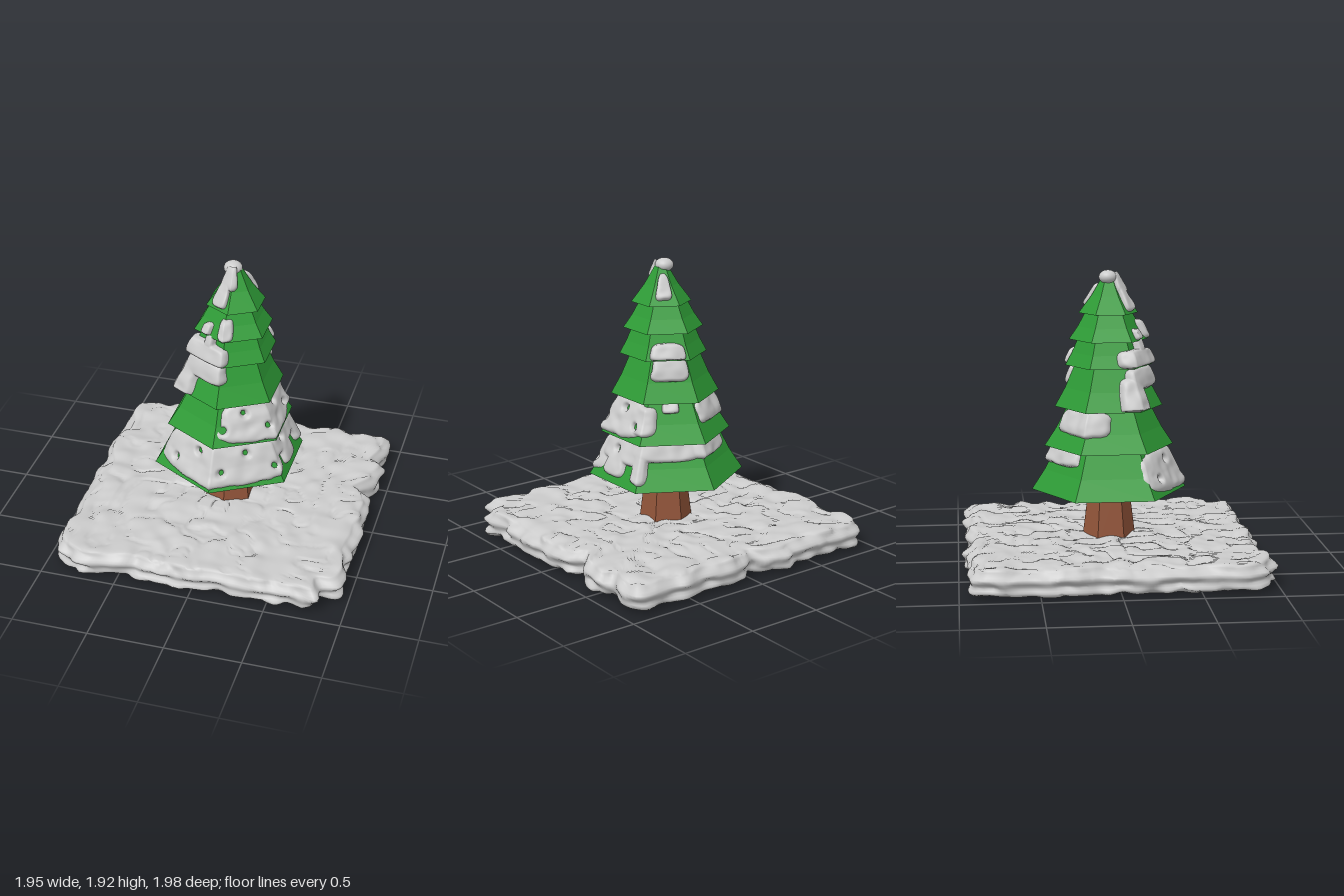
import * as THREE from 'three';

const snowMat = new THREE.MeshStandardMaterial({ color: 0xcccccc });
const leafMat = new THREE.MeshStandardMaterial({ color: 0x2e9b36, flatShading: true });
const barkMat = new THREE.MeshStandardMaterial({ color: 0x93553a, flatShading: true });

// Smooth seeded value noise, 0..1
function hash(x, y, z) {
  const s = Math.sin(x * 127.1 + y * 311.7 + z * 74.7) * 43758.5453;
  return s - Math.floor(s);
}
function noise(x, y, z) {
  const c = [x, y, z].map(Math.floor);
  const [u, v, w] = [x, y, z].map((n, i) => (n - c[i]) * (n - c[i]) * (3 - 2 * (n - c[i])));
  let sum = 0;
  for (let k = 0; k < 8; k++) {
    const i = k & 1, j = (k >> 1) & 1, l = k >> 2;
    sum += hash(c[0] + i, c[1] + j, c[2] + l) * (i ? u : 1 - u) * (j ? v : 1 - v) * (l ? w : 1 - w);
  }
  return sum;
}

// Surface of rows (upward) and columns (closed ring); point returns [x, y, z, keep]
function ringSurface(cols, rows, point) {
  const pos = [], keep = [], index = [];
  for (let j = 0; j <= rows; j++) {
    for (let i = 0; i < cols; i++) {
      const [x, y, z, k = true] = point(i, j);
      pos.push(x, y, z);
      keep.push(k);
    }
  }
  for (let j = 0; j < rows; j++) {
    for (let i = 0; i < cols; i++) {
      const n = (i + 1) % cols;
      const a = j * cols + i, b = j * cols + n, c = b + cols, d = a + cols;
      if (keep[a] || keep[b] || keep[c] || keep[d]) index.push(a, b, d, b, c, d);
    }
  }
  const g = new THREE.BufferGeometry();
  g.setAttribute('position', new THREE.Float32BufferAttribute(pos, 3));
  g.setIndex(index);
  g.computeVertexNormals();
  return g;
}

function addMesh(group, name, geometry, material) {
  const m = new THREE.Mesh(geometry, material);
  m.name = name;
  group.add(m);
  return m;
}

// Notches (negative) and bulges in the slab rim: x, z, amount
const rimDents = [
  [-0.02, -0.95, -0.08], [0.95, -0.3, -0.09], [0.95, -0.69, -0.06],
  [0.9, 0.9, -0.12], [-0.23, -0.95, 0.04], [-0.7, 0.95, 0.04],
];

// Slab outline: a rounded square with a wavy edge
function slabRim(a) {
  const c = Math.cos(a), s = Math.sin(a);
  let r = 0.95 / Math.pow(c ** 14 + s ** 14, 1 / 14);
  const x = r * s, z = r * c;
  r += (noise(x * 7 + 20, 3, z * 7 + 20) - 0.5) * 0.06;
  for (const [dx, dz, amount] of rimDents) r += amount * Math.exp(-((x - dx) ** 2 + (z - dz) ** 2) / 0.005);
  return [r * s, r * c];
}

function snowSlab() {
  const cols = 320;
  const rim = Array.from({ length: cols }, (_, i) => slabRim(i / cols * Math.PI * 2));
  // Cross-section from bottom centre, round the rim, to top centre
  const profile = [];
  for (let k = 0; k < 36; k++) profile.push([k / 36 * 0.92, 0.025]);
  for (let k = 0; k <= 18; k++) {
    const t = -Math.PI / 2 + Math.PI * k / 18;
    profile.push([0.92 + 0.075 * Math.pow(Math.cos(t) + 1e-9, 0.7), 0.107 + 0.082 * Math.sin(t)]);
  }
  for (let k = 1; k <= 50; k++) profile.push([0.92 * (1 - k / 50), 0.189]);
  return ringSurface(cols, profile.length - 1, (i, j) => {
    const [s, y] = profile[j];
    const x = rim[i][0] * s, z = rim[i][1] * s;
    const lump = noise(x * 11 + 30, y * 22, z * 11 + 50) - 0.5;
    const vein = Math.abs(noise(x * 9 + 7, y * 8, z * 9 + 90) - 0.5);
    const up = (y - 0.107) / 0.082;
    const edge = Math.max(0, (s - 0.8) / 0.2);
    const out = 1 + edge * (lump * 0.055 - 0.012 * Math.cos(y * 75));
    return [x * out, y + up * (lump * 0.03 - Math.max(0, 0.05 - vein) * 0.25 + 0.004), z * out];
  });
}

// Tiers from the bottom: x offset, lip radius and height, top radius and height
const tiers = [
  [0, 0.51, 0.49, 0.34, 0.79],
  [0.005, 0.425, 0.78, 0.27, 1.05],
  [0.01, 0.355, 1.04, 0.22, 1.32],
  [0.025, 0.285, 1.31, 0.195, 1.5],
  [0.025, 0.26, 1.48, 0.145, 1.67],
  [0.04, 0.195, 1.65, 0.025, 1.91],
];

// Snow patches on each tier: angle, height, half angle, half height
const patches = [
  [[5, 0.645, 66, 0.135], [90, 0.7, 30, 0.09], [86, 0.61, 14, 0.08], [130, 0.73, 48, 0.07], [118, 0.63, 8, 0.1], [200, 0.73, 32, 0.06]],
  [[60, 0.915, 57, 0.125], [112, 0.92, 20, 0.09], [150, 1, 12, 0.04], [225, 0.96, 42, 0.08]],
  [[-30, 1.24, 39, 0.075], [-60, 1.13, 20, 0.12], [150, 1.25, 28, 0.08]],
  [[-36, 1.365, 44, 0.06], [-28, 1.44, 10, 0.05], [150, 1.36, 26, 0.055]],
  [[2, 1.545, 13, 0.06], [-35, 1.52, 9, 0.035]],
  [[-28, 1.75, 22, 0.085], [-15, 1.86, 40, 0.09], [150, 1.76, 22, 0.08]],
];

// Tier profile: lip, a slight sag halfway, top
function tierProfile([, r0, y0, r1, y1]) {
  return [[r0, y0], [(r0 + r1) / 2, y0 + (y1 - y0) * 0.44], [r1, y1]];
}

// Radius of a six-sided tier at an angle in degrees and a height
function tierRadius([a, b, c], deg, y) {
  const [p, q] = y < b[1] ? [a, b] : [b, c];
  const r = p[0] + (q[0] - p[0]) * (y - p[1]) / (q[1] - p[1]);
  const m = ((deg % 60) + 60) % 60 - 30;
  return r * Math.cos(Math.PI / 6) / Math.cos(m * Math.PI / 180);
}

// Snow skin that dips below the leaves wherever there is no patch
function tierSnow(profile, snow, bareSpots, thickness) {
  const cols = 240, rows = 36, y0 = profile[0][1], height = profile[2][1] - y0;
  const wrap = (d) => ((d + 540) % 360 + 360) % 360 - 180;
  return ringSurface(cols, rows, (i, j) => {
    const deg = -180 + 360 * i / cols, a = deg * Math.PI / 180;
    const y = y0 + height * j / rows;
    const r = tierRadius(profile, deg, y);
    const n = noise(r * Math.sin(a) * 16 + 40, y * 16, r * Math.cos(a) * 16 + 60) - 0.5;
    let d = -0.02;
    for (const [ac, yc, wa, wh] of snow) {
      const q = (wrap(deg - ac) / wa) ** 4 + ((y - yc) / wh) ** 4 + n * 0.6;
      d = Math.max(d, thickness * Math.tanh(2.2 * (1 - q)));
    }
    if (d > 0) d += n * 0.02;
    // Small bare spots where the leaves show through
    for (let k = 0; k < bareSpots; k++) {
      const arc = wrap(deg + 42 - 25 * k) * Math.PI / 180 * r;
      const rise = y - y0 - height * (k % 2 ? 0.68 : 0.35);
      d -= 0.07 * Math.exp(-(arc * arc + rise * rise) / 0.0003);
    }
    // Close the skin at the lip
    d = j === 0 ? -0.02 : Math.max(d, -0.02);
    const s = Math.max(0.002, r + d);
    return [s * Math.sin(a), y + Math.max(0, d) * 0.3, s * Math.cos(a), d > -0.012];
  });
}

export function createModel() {
  const model = new THREE.Group();
  model.name = 'snowyTree';

  addMesh(model, 'snowGround', snowSlab(), snowMat);

  const trunk = addMesh(model, 'trunk', new THREE.CylinderGeometry(0.125, 0.18, 0.45, 6), barkMat);
  trunk.position.set(0.005, 0.345, 0);

  tiers.forEach((tier, k) => {
    const group = new THREE.Group();
    group.name = `tier${k + 1}`;
    group.position.x = tier[0];
    const profile = tierProfile(tier);
    const points = [[0, tier[2] + 0.03], ...profile, [0, tier[4]]].map(([r, y]) => new THREE.Vector2(r, y));
    addMesh(group, 'branches', new THREE.LatheGeometry(points, 6), leafMat);
    const thickness = k === 2 || k === 3 ? 0.045 : 0.033;
    addMesh(group, 'branchSnow', tierSnow(profile, patches[k], k < 2 ? 7 : 0, thickness), snowMat);
    model.add(group);
  });

  // Snow cap on the tip
  const cap = addMesh(model, 'snowCap', new THREE.SphereGeometry(1, 24, 16), snowMat);
  cap.scale.set(0.06, 0.045, 0.06);
  cap.position.set(0.02, 1.885, -0.005);

  return model;
}
